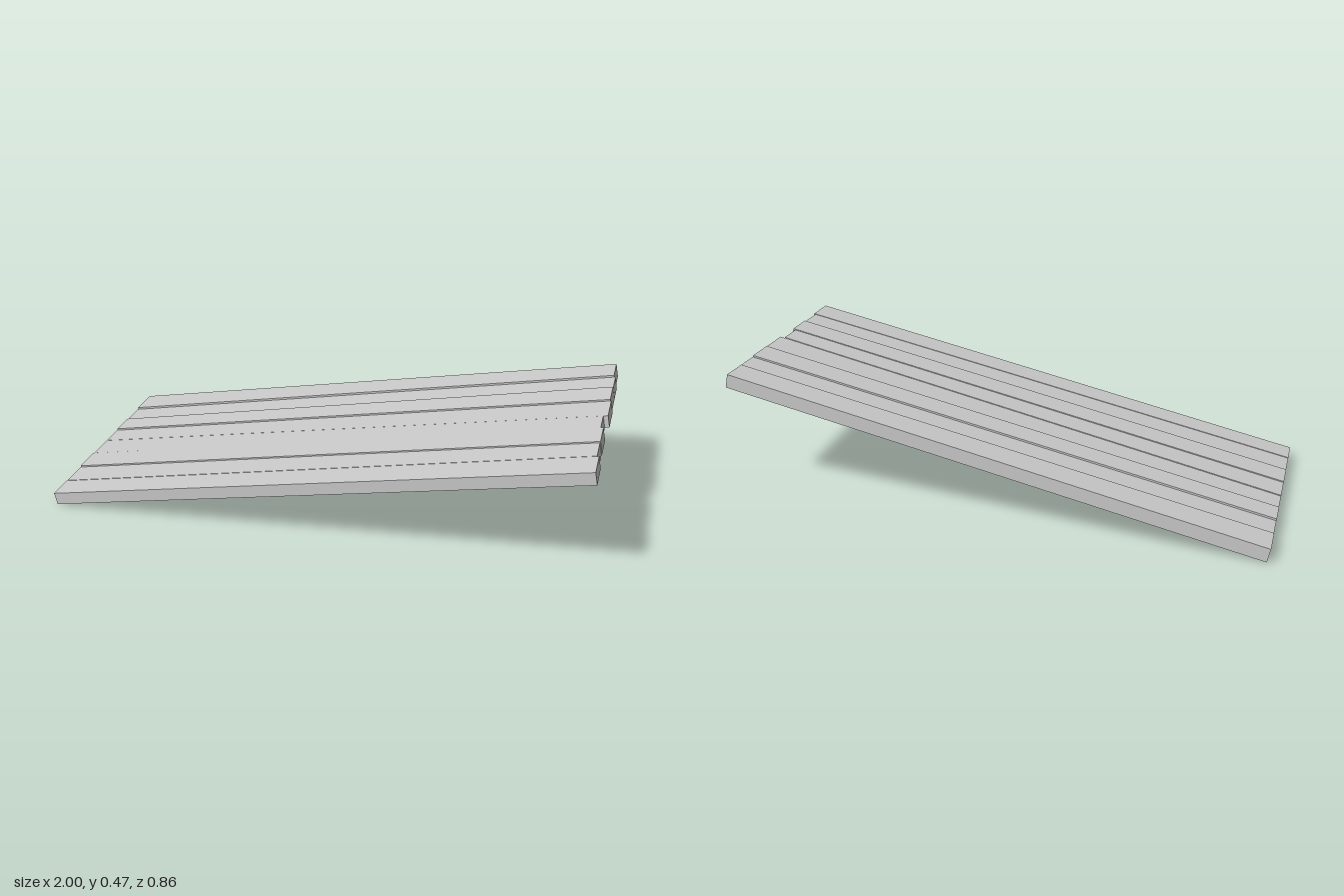
import * as THREE from 'three';

const SLOPE = Math.atan(0.2089);

// A board from x = 0 to length whose side edges run from z values at the low end to z values at the high end
function plankGeometry(length, thickness, low, high) {
  const geometry = new THREE.BoxGeometry(length, thickness, 1);
  geometry.translate(length / 2, thickness / 2, 0);
  const p = geometry.attributes.position;
  for (let i = 0; i < p.count; i++) {
    const side = p.getZ(i) > 0 ? 0 : 1;
    p.setZ(i, p.getX(i) > length / 2 ? high[side] : low[side]);
  }
  geometry.computeVertexNormals();
  return geometry;
}

export function createModel() {
  const group = new THREE.Group();
  group.name = 'plankRamp';
  const material = new THREE.MeshStandardMaterial({ color: 0xcccccc, flatShading: true });

  // Seam positions across the ramp, front to back
  const lowSeams = [0.432, 0.3305, 0.2175, 0.104, -0.0105, -0.108, -0.2075, -0.312, -0.432];
  const highSeams = [0.432, 0.317, 0.2185, 0.1105, 0.0135, -0.1115, -0.2245, -0.3235, -0.432];
  // Horizontal run and thickness of each plank
  const planks = [
    [1.987, 0.047], [1.98, 0.0464], [1.982, 0.05], [1.972, 0.048],
    [1.988, 0.0467], [1.985, 0.0514], [1.985, 0.0463], [1.98, 0.0525],
  ];

  // Sloping deck, hinged at its low end
  const deck = new THREE.Group();
  deck.name = 'deck';
  deck.position.x = -0.989;
  deck.rotation.z = SLOPE;
  group.add(deck);

  const edges = (seams, i, gap) => [
    seams[i] - (i > 0 ? gap : 0),
    seams[i + 1] + (i < planks.length - 1 ? gap : 0),
  ];
  planks.forEach(([run, thickness], i) => {
    const geometry = plankGeometry(
      run / Math.cos(SLOPE), thickness, edges(lowSeams, i, 0.0022), edges(highSeams, i, 0.0015));
    const plank = new THREE.Mesh(geometry, material);
    plank.name = `plank${i + 1}`;
    deck.add(plank);
  });

  return group;
}
